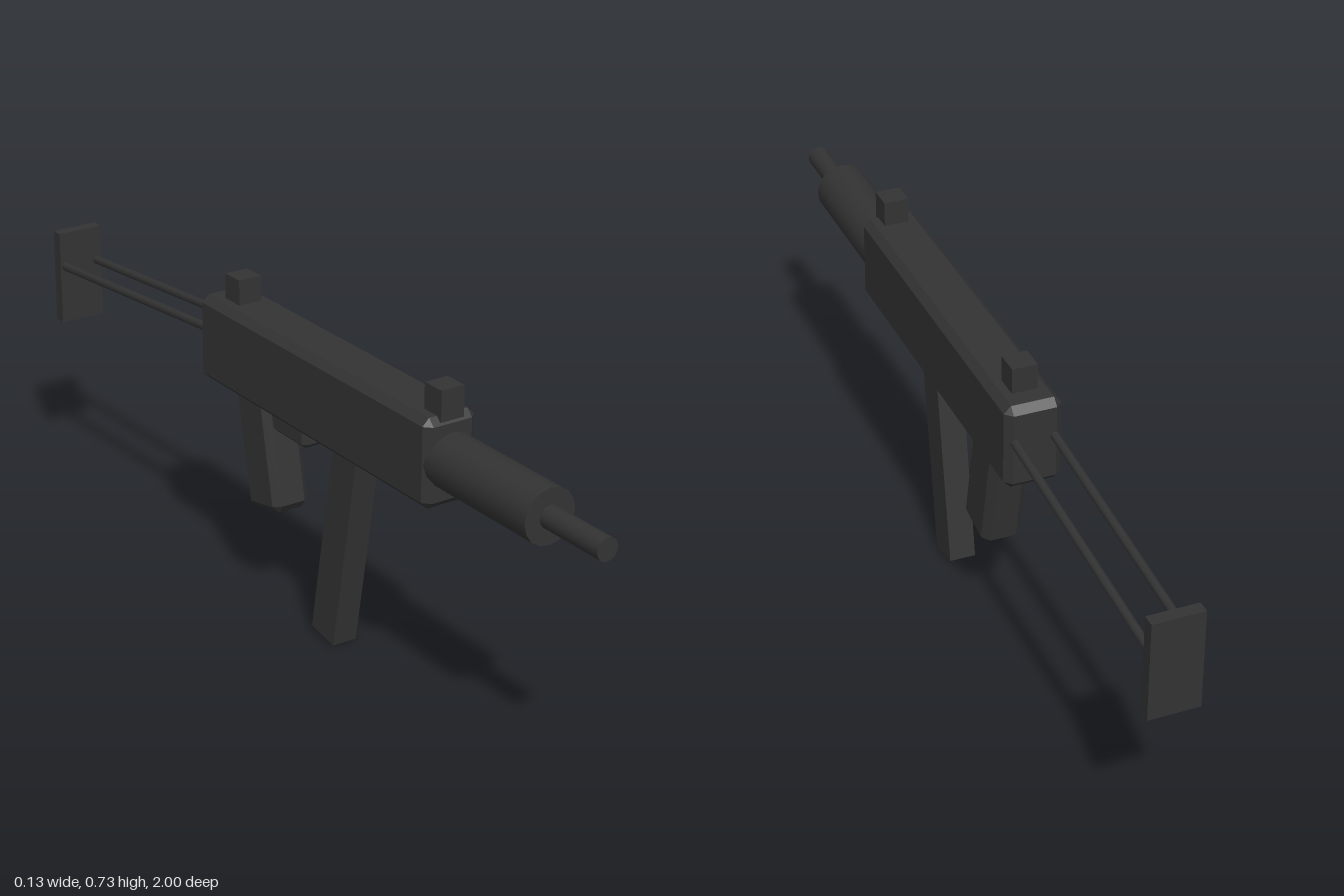
import * as THREE from 'three';
import { ConvexGeometry } from 'three/addons/geometries/ConvexGeometry.js';

// Box with every edge chamfered by c
function chamferBox(w, h, d, c) {
  const points = [];
  for (const sx of [-1, 1]) for (const sy of [-1, 1]) for (const sz of [-1, 1]) {
    const [x, y, z] = [sx * w / 2, sy * h / 2, sz * d / 2];
    points.push(
      new THREE.Vector3(x, y - sy * c, z - sz * c),
      new THREE.Vector3(x - sx * c, y, z - sz * c),
      new THREE.Vector3(x - sx * c, y - sy * c, z));
  }
  return new ConvexGeometry(points);
}

// Cylinder running between two points
function rod(a, b, radius, sides) {
  const dir = b.clone().sub(a);
  const geo = new THREE.CylinderGeometry(radius, radius, dir.length(), sides);
  geo.applyQuaternion(new THREE.Quaternion().setFromUnitVectors(
    new THREE.Vector3(0, 1, 0), dir.clone().normalize()));
  const mid = a.clone().add(b).multiplyScalar(0.5);
  return geo.translate(mid.x, mid.y, mid.z);
}

export function createModel() {
  const group = new THREE.Group();
  const metal = new THREE.MeshStandardMaterial({ color: 0x333333 });
  metal.name = 'dark metal';
  const v = (x, y, z) => new THREE.Vector3(x, y, z);

  const add = (name, geo, y = 0, z = 0, tilt = 0) => {
    const mesh = new THREE.Mesh(geo, metal);
    mesh.name = name;
    mesh.position.set(0, y, z);
    mesh.rotation.x = tilt;
    group.add(mesh);
  };

  // Main body
  add('receiver', chamferBox(0.126, 0.197, 0.85, 0.016), 0.572, 0.095);

  // Barrel and its jacket
  add('barrelJacket', rod(v(0, 0.573, 0.45), v(0, 0.573, 0.83), 0.061, 16));
  add('barrel', rod(v(0, 0.573, 0.8), v(0, 0.573, 1), 0.025, 16));

  // Sights on top
  add('frontSight', new THREE.BoxGeometry(0.056, 0.068, 0.056), 0.694, 0.49);
  add('rearSight', new THREE.BoxGeometry(0.056, 0.068, 0.056), 0.694, -0.245);

  // Slanted parts underneath
  add('magazine', new THREE.BoxGeometry(0.06, 0.5, 0.083), 0.253, 0.152, 0.17);
  add('grip', chamferBox(0.09, 0.3, 0.12, 0.016), 0.374, -0.134, -0.2);
  add('triggerGuard', chamferBox(0.056, 0.054, 0.17, 0.01), 0.447, -0.05);

  // Wire stock
  for (const side of [-1, 1]) {
    add(side > 0 ? 'leftStockRod' : 'rightStockRod',
      rod(v(side * 0.043, 0.59, -0.3), v(side * 0.043, 0.532, -0.98), 0.01, 8));
  }
  add('buttPlate', new THREE.BoxGeometry(0.112, 0.226, 0.028), 0.504, -0.986);

  return group;
}
